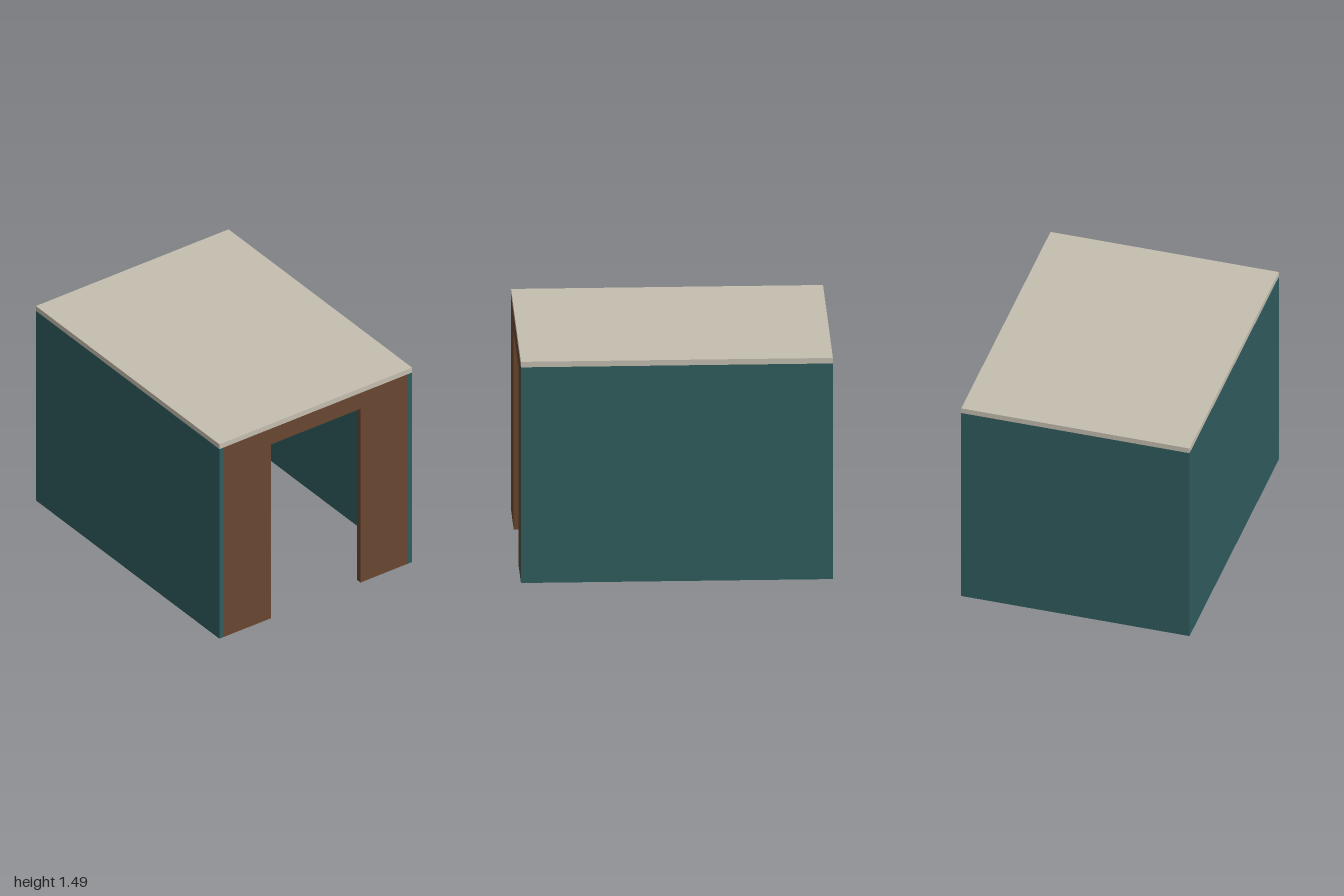
import * as THREE from 'three';

export function createModel() {
  const teal = new THREE.MeshStandardMaterial({ name: 'tealWall', color: 0x305c5e });
  const brown = new THREE.MeshStandardMaterial({ name: 'brownDoorWall', color: 0x68462f });
  const stone = new THREE.MeshStandardMaterial({ name: 'paleRoof', color: 0xc5beb0 });

  const L = 2, W = 1.526, H = 1.488, T = 0.037; // length, width, height, panel thickness
  const wallH = H - T, innerW = W - 2 * T;
  const doorW = 0.708, doorH = 1.33;

  const model = new THREE.Group();
  model.name = 'shed';

  function box(name, material, size, position) {
    const mesh = new THREE.Mesh(new THREE.BoxGeometry(...size), material);
    mesh.name = name;
    mesh.position.set(...position);
    model.add(mesh);
  }

  // Roof slab
  box('roof', stone, [L, T, W], [0, H - T / 2, 0]);

  // Long walls at the front and back
  for (const [name, side] of [['frontWall', 1], ['backWall', -1]]) {
    box(name, teal, [L, wallH, T], [0, wallH / 2, side * (W - T) / 2]);
  }

  // Closed end wall
  box('endWall', teal, [T, wallH, innerW], [-(L - T) / 2, wallH / 2, 0]);

  // End wall with a doorway open at the floor
  const h = innerW / 2, d = doorW / 2;
  const outline = new THREE.Shape([
    [-h, 0], [-d, 0], [-d, doorH], [d, doorH], [d, 0], [h, 0], [h, wallH], [-h, wallH],
  ].map(([x, y]) => new THREE.Vector2(x, y)));
  const doorWall = new THREE.Mesh(
    new THREE.ExtrudeGeometry(outline, { depth: T, bevelEnabled: false }), brown);
  doorWall.name = 'doorwayWall';
  doorWall.rotation.y = Math.PI / 2;
  doorWall.position.x = L / 2 - T;
  model.add(doorWall);

  return model;
}
